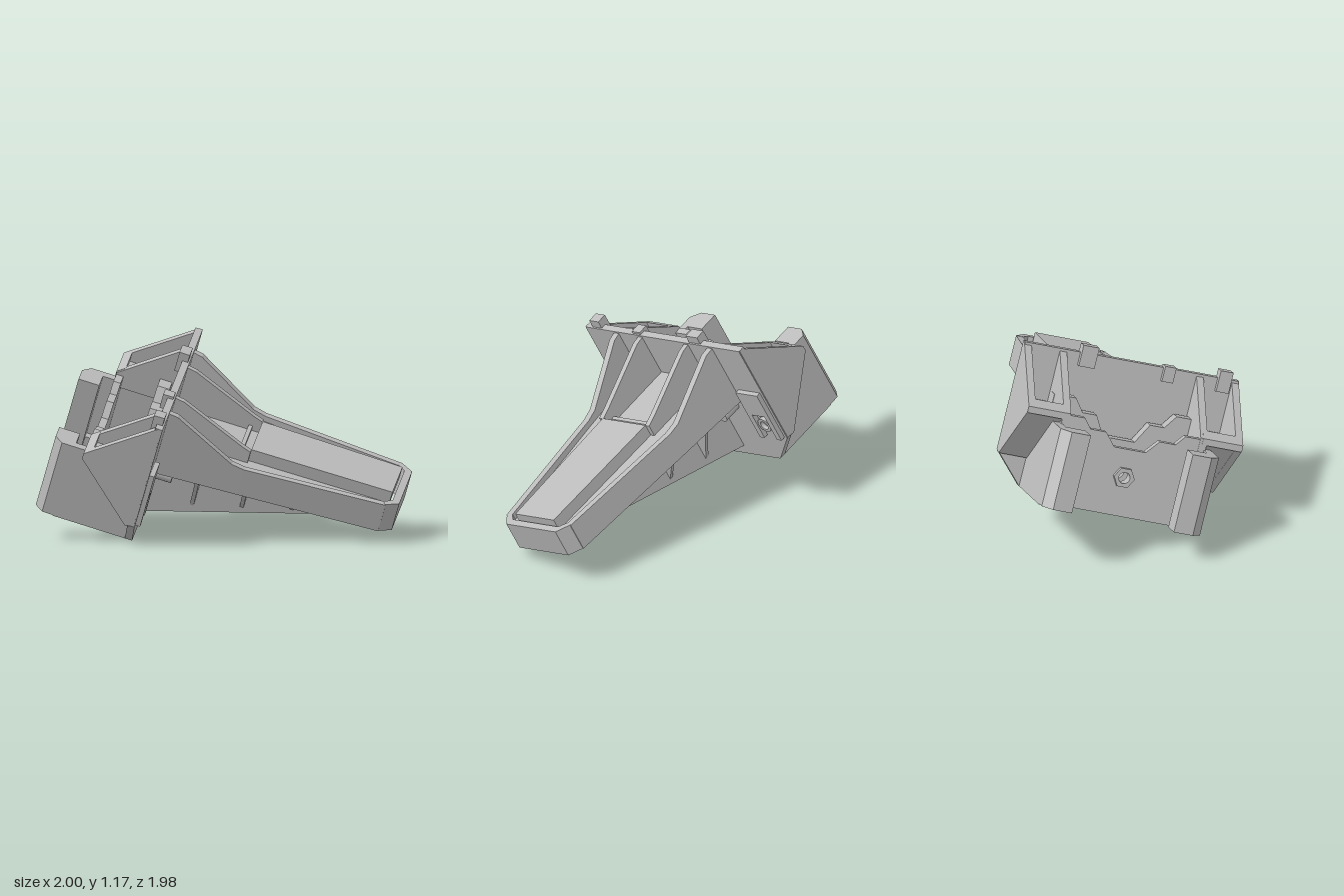
import * as THREE from 'three';

const gray = new THREE.MeshStandardMaterial({ color: 0xbcbcbc });
gray.name = 'plain gray';

function extrude(points, depth, hole) {
  const shape = new THREE.Shape(points.map(p => new THREE.Vector2(p[0], p[1])));
  if (hole) {
    const h = new THREE.Path();
    h.absarc(hole[0], hole[1], hole[2], 0, Math.PI * 2, true);
    shape.holes.push(h);
  }
  return new THREE.ExtrudeGeometry(shape, { depth, bevelEnabled: false, curveSegments: 10 });
}
// outline in (x, y), thick along z
const slab = (pts, z0, z1, hole) => extrude(pts, z1 - z0, hole).translate(0, 0, z0);
// outline in (z, y), thick along x
const side = (pts, x0, x1) =>
  extrude(pts.map(([z, y]) => [-z, y]), x1 - x0).rotateY(Math.PI / 2).translate(x0, 0, 0);
// outline in (x, z), thick along y
const plan = (pts, y0, y1) =>
  extrude(pts.map(([x, z]) => [x, -z]), y1 - y0).rotateX(-Math.PI / 2).translate(0, y0, 0);
// right half of an outline, completed by mirroring
const both = pts => [...pts, ...pts.map(([x, y]) => [-x, y]).reverse()];

const box = (x0, x1, y0, y1, z0, z1) =>
  new THREE.BoxGeometry(x1 - x0, y1 - y0, z1 - z0).translate((x0 + x1) / 2, (y0 + y1) / 2, (z0 + z1) / 2);

// open ring with its axis along z
const ring = (outer, inner, z0, z1, sides) => {
  const rim = Array.from({ length: sides }, (_, i) => {
    const a = i / sides * Math.PI * 2;
    return [outer * Math.cos(a), outer * Math.sin(a)];
  });
  return slab(rim, z0, z1, [0, 0, inner]);
};

// half width of the tapering arm
const armWidth = z => z > -0.12
  ? THREE.MathUtils.mapLinear(z, 0.39, -0.12, 0.435, 0.384)
  : THREE.MathUtils.mapLinear(z, -0.12, -0.986, 0.384, 0.285);

export function createModel() {
  const body = new THREE.Group();
  body.name = 'body';
  const add = (name, geometry) => {
    const m = new THREE.Mesh(geometry, gray);
    m.name = name;
    body.add(m);
  };

  // main plates of the holder
  add('backPlate', slab(both([[0.504, 0.01], [0.68, 0.195], [0.68, 0.88]]), 0.4, 0.445, [0, 0.25, 0.06]));
  add('frontWall', slab(both([[0.46, 0.01], [0.46, 0.56], [0.32, 0.56], [0.27, 0.5], [0.17, 0.5], [0.1, 0.42]]),
    0.765, 0.81, [0, 0.25, 0.035]));
  add('middleWall', slab(both([[0.46, 0.01], [0.46, 0.62], [0.32, 0.62], [0.26, 0.54], [0.17, 0.54], [0.1, 0.42]]),
    0.475, 0.55, [0, 0.25, 0.06]));
  add('cavityFloor', box(-0.46, 0.46, 0.01, 0.05, 0.43, 0.62));

  // bolt channel through the plates
  const hub = [['frontNut', 0.065, 0.035, 0.8, 0.835, 6], ['innerSleeve', 0.1, 0.06, 0.44, 0.62, 18],
    ['rearBase', 0.13, 0.075, 0.32, 0.4, 18], ['rearCollar', 0.11, 0.075, 0.23, 0.33, 18],
    ['rearNut', 0.076, 0.035, 0.27, 0.32, 6]];
  for (const [name, ro, ri, z0, z1, n] of hub) add(name, ring(ro, ri, z0, z1, n).translate(0, 0.25, 0));

  for (const s of [1, -1]) {
    const span = (a, b) => s > 0 ? [a, b] : [-b, -a];
    const tag = s > 0 ? 'left' : 'right';

    // side wall ending in a chamfered front hook
    add(tag + 'SideWall', box(...span(0.45, 0.504), 0.01, 0.5, 0.42, 0.9));
    const hook = [[0.325, 0.885], [0.504, 0.885], [0.504, 0.965], [0.445, 1.015], [0.325, 1.015]];
    add(tag + 'Hook', plan(hook.map(([x, z]) => [x * s, z]), 0.015, 0.5));
    add(tag + 'HookFoot', box(...span(0.4, 0.5), 0.015, 0.1, 0.8, 0.9));

    // wedge wing with an open triangular pocket
    add(tag + 'WingBase', side([[0.41, 0.2], [0.46, 0.19], [0.812, 0.535], [0.812, 0.55], [0.41, 0.55]], ...span(0.45, 0.68)));
    add(tag + 'WingOuterPanel', side([[0.405, 0.2], [0.46, 0.19], [0.815, 0.535], [0.815, 0.57], [0.425, 0.88], [0.405, 0.88]],
      ...span(0.638, 0.683)));
    add(tag + 'WingInnerPanel', side([[0.41, 0.48], [0.812, 0.48], [0.812, 0.57], [0.425, 0.88], [0.41, 0.88]], ...span(0.413, 0.458)));
    add(tag + 'WingFrontLip', side([[0.765, 0.53], [0.815, 0.53], [0.815, 0.57], [0.765, 0.61]], ...span(0.43, 0.68)));
    add(tag + 'WingNut', ring(0.06, 0.03, 0, 0.03, 6).rotateX(-Math.PI / 2).translate(0.555 * s, 0.55, 0.66));

    // raised pad with a bolt hole on the rear face
    add(tag + 'RearPadTop', box(...span(0.47, 0.66), 0.38, 0.55, 0.37, 0.405));
    for (const [a, b] of [[0.47, 0.51], [0.62, 0.66]])
      add(tag + 'RearPadRail', box(...span(a, b), 0.2, 0.4, 0.37, 0.405));
    add(tag + 'RearHole', ring(0.05, 0.03, 0.375, 0.405, 12).translate(0.565 * s, 0.3, 0));

    // outer arm wall, a band sweeping down from the back plate
    const wall = side([[0.41, 0.455], [0.41, 0.87], [0.345, 0.86], [-0.04, 0.645], [-0.12, 0.63], [-0.986, 0.635],
      [-0.986, 0.452], [-0.12, 0.455]], -0.022, 0.022);
    const p = wall.attributes.position;
    for (let i = 0; i < p.count; i++) p.setX(i, p.getX(i) + s * (armWidth(p.getZ(i)) - 0.022));
    wall.computeVertexNormals();
    add(tag + 'ArmWall', wall);

    // inner arm wall, reaching down as a gusset below the floor
    add(tag + 'ArmGusset', side([[0.41, 0.07], [0.41, 0.87], [0.345, 0.86], [-0.06, 0.69], [-0.12, 0.67], [-0.12, 0.59],
      [-0.74, 0.59], [-0.74, 0.463], [-0.53, 0.382]], ...span(0.185, 0.222)));

    // cross ribs between gusset and outer wall
    for (const z of [0.13, -0.16, -0.45]) {
      const w = armWidth(z) - 0.03, low = 0.215 - 0.325 * z;
      add(tag + 'ArmRib', slab([[0.2 * s, low], [w * s, 0.47], [w * s, 0.58], [0.2 * s, 0.58]], z - 0.012, z + 0.012));
    }
    // round lug beside the gusset
    add(tag + 'ArmLug', new THREE.CylinderGeometry(0.038, 0.038, 0.12, 16)
      .rotateX(Math.PI / 2).translate(0.35 * s, 0.42, 0.34));
  }

  // arm floor, pad and tip
  add('armFloor', plan(both([[0.42, 0.41], [0.37, -0.12], [0.27, -0.99]]), 0.57, 0.595));
  add('armPad', plan(both([[0.19, -0.12], [0.17, -1.0]]), 0.59, 0.672));
  add('armStep', box(-0.185, 0.185, 0.59, 0.625, -0.07, -0.045));
  add('armTip', plan([[0.285, -0.98], [0.217, -1.06], [-0.217, -1.06], [-0.285, -0.98],
    [-0.245, -0.97], [-0.2, -1.015], [0.2, -1.015], [0.245, -0.97]], 0.452, 0.637));

  // low ribs and a short post under the floor
  for (const z of [0.13, -0.16, -0.45]) add('floorRib', box(-0.19, 0.19, 0.52, 0.58, z - 0.012, z + 0.012));
  add('floorPost', new THREE.CylinderGeometry(0.04, 0.04, 0.12, 16).translate(0, 0.52, -0.3));

  // locating tabs along the top edge
  for (const [x, w, y] of [[-0.28, 0.05, 0.93], [0.585, 0.04, 0.93], [0.235, 0.035, 0.895]])
    add('topTab', box(x - w, x + w, 0.8, y, 0.41, 0.475));

  // place the part in its leaning pose
  body.position.x = -0.112;
  const turn = new THREE.Group();
  turn.name = 'turnedBody';
  turn.rotation.y = THREE.MathUtils.degToRad(-43.3);
  turn.add(body);
  const lean = new THREE.Group();
  lean.name = 'armBracket';
  lean.rotation.z = THREE.MathUtils.degToRad(-25);
  lean.add(turn);
  const model = new THREE.Group();
  model.add(lean);
  return model;
}
